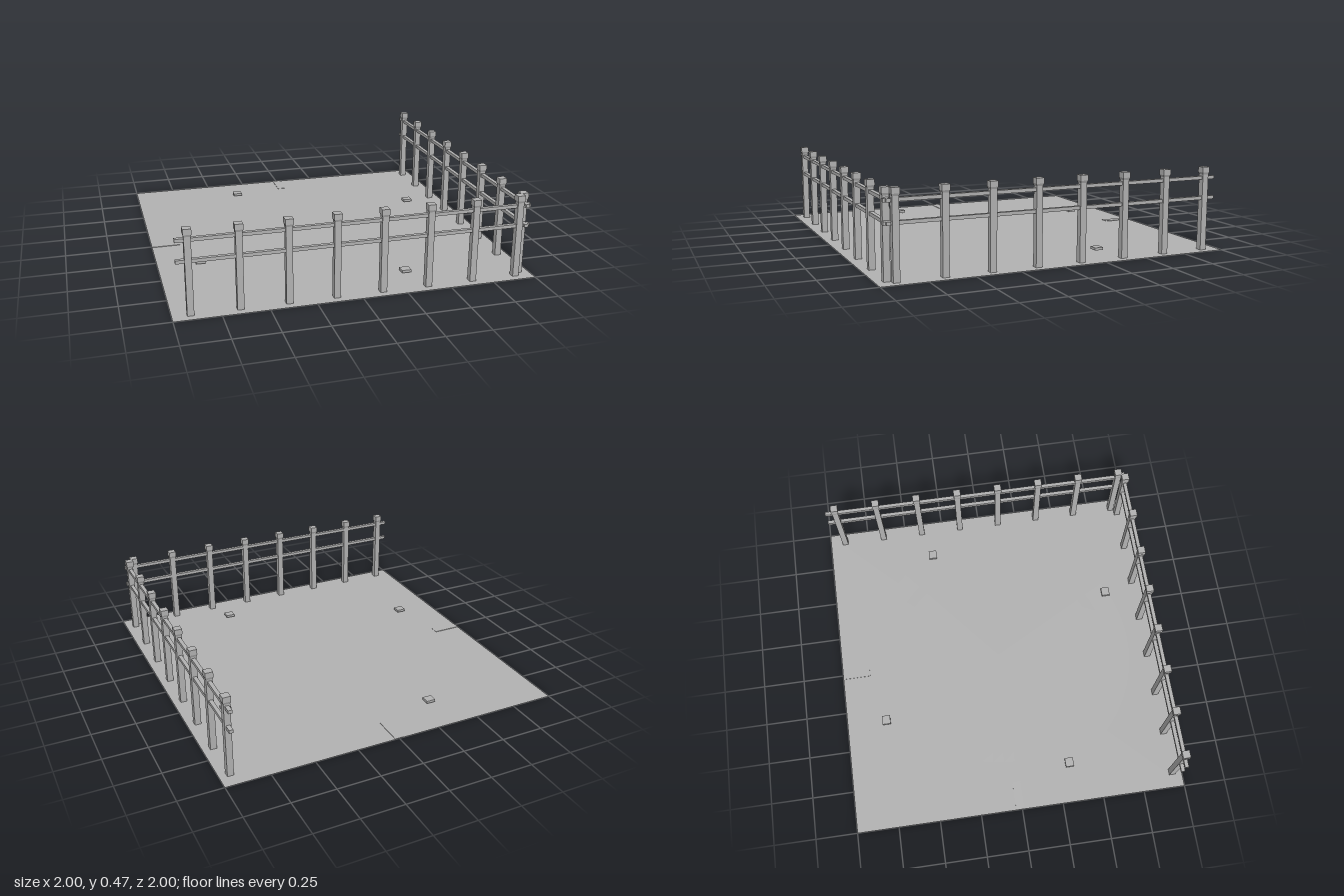
import * as THREE from 'three';

const grey = new THREE.MeshStandardMaterial({ color: 0xb4b4b4 });
grey.name = 'concreteGrey';
const greySheet = new THREE.MeshStandardMaterial({ color: 0xb4b4b4, side: THREE.DoubleSide });
greySheet.name = 'concreteGreySheet';

function add(parent, name, geometry, x, y, z, material = grey) {
  const mesh = new THREE.Mesh(geometry, material);
  mesh.name = name;
  mesh.position.set(x, y, z);
  parent.add(mesh);
  return mesh;
}

// Square post with a flared collar and a wider cap
function makePost() {
  const post = new THREE.Group();
  post.name = 'fencePost';
  add(post, 'postShaft', new THREE.BoxGeometry(0.036, 0.43, 0.036), 0, 0.215, 0);
  const collar = new THREE.CylinderGeometry(0.044 / Math.SQRT2, 0.036 / Math.SQRT2, 0.012, 4, 1, true)
    .toNonIndexed();
  collar.rotateY(Math.PI / 4);
  collar.computeVertexNormals();
  add(post, 'postCollar', collar, 0, 0.436, 0);
  add(post, 'postCap', new THREE.BoxGeometry(0.044, 0.03, 0.044), 0, 0.457, 0);
  return post;
}

// Row of eight posts along x joined by two rails
function makeFence(name) {
  const fence = new THREE.Group();
  fence.name = name;
  for (let i = 0; i < 8; i++) {
    const post = makePost();
    post.position.x = -0.904 + i * 0.258;
    fence.add(post);
  }
  for (const y of [0.297, 0.411]) {
    add(fence, 'fenceRail', new THREE.BoxGeometry(1.932, 0.019, 0.022), -0.002, y, 0);
  }
  return fence;
}

export function createModel() {
  const model = new THREE.Group();
  model.name = 'landingPad';

  // Ground sheet
  const ground = new THREE.PlaneGeometry(2, 2).rotateX(-Math.PI / 2);
  add(model, 'ground', ground, 0, 0, 0, greySheet);

  // Round pad and its painted ring
  add(model, 'padDisc', new THREE.CircleGeometry(0.835, 64).rotateX(-Math.PI / 2), 0, 0.001, 0);
  add(model, 'padRing', new THREE.RingGeometry(0.64, 0.705, 64).rotateX(-Math.PI / 2), 0, 0.002, 0);

  // Narrow strips from the pad to the back and right edges
  add(model, 'backStrip', new THREE.BoxGeometry(0.05, 0.003, 0.17), 0, 0.0015, -0.915);
  add(model, 'sideStrip', new THREE.BoxGeometry(0.17, 0.003, 0.05), -0.915, 0.0015, -0.012);

  // Four lights around the rim
  for (const [x, z] of [[-0.333, -0.757], [0.753, -0.334], [-0.76, 0.327], [0.327, 0.753]]) {
    add(model, 'rimLight', new THREE.BoxGeometry(0.054, 0.015, 0.05), x, 0.0195, z);
  }

  // Fences along the front and the left side
  const front = makeFence('frontFence');
  front.position.z = 0.94;
  const side = makeFence('sideFence');
  side.rotation.y = -Math.PI / 2;
  side.position.x = 0.94;
  model.add(front, side);

  return model;
}
